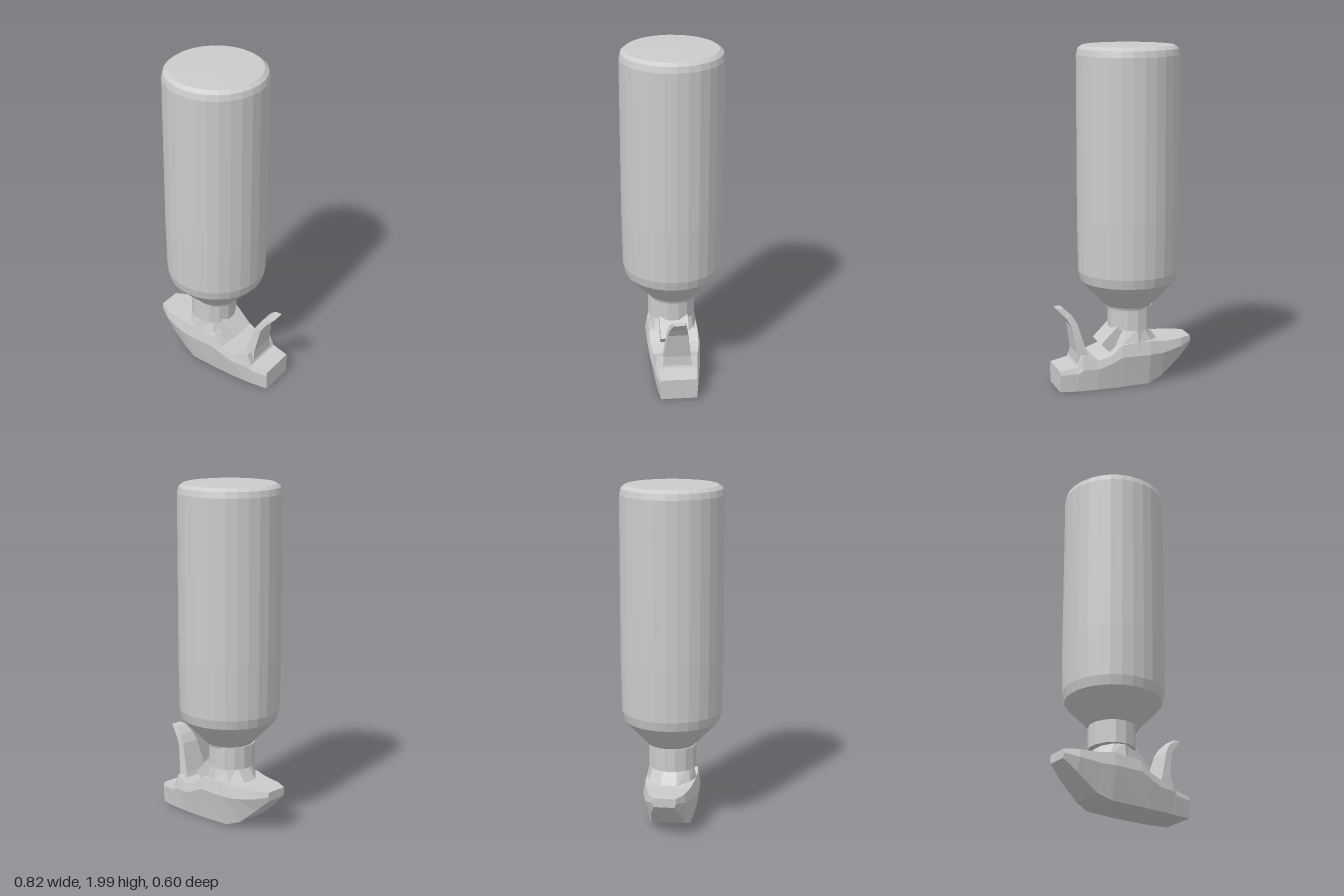
import * as THREE from 'three';

const material = new THREE.MeshStandardMaterial({ color: 0xcccccc, flatShading: true });

// Skin a list of rings (each an array of [x, y, z]) and close both ends
function loft(rings) {
  const n = rings[0].length;
  const pos = [];
  const tri = (a, b, c) => pos.push(...a, ...b, ...c);
  for (let i = 0; i < rings.length - 1; i++) {
    for (let j = 0; j < n; j++) {
      const k = (j + 1) % n;
      tri(rings[i][j], rings[i][k], rings[i + 1][k]);
      tri(rings[i][j], rings[i + 1][k], rings[i + 1][j]);
    }
  }
  const first = rings[0], last = rings[rings.length - 1];
  for (let j = 1; j < n - 1; j++) {
    tri(first[0], first[j + 1], first[j]);
    tri(last[0], last[j], last[j + 1]);
  }
  const g = new THREE.BufferGeometry();
  g.setAttribute('position', new THREE.Float32BufferAttribute(pos, 3));
  g.computeVertexNormals();
  return g;
}

export function createModel() {
  const group = new THREE.Group();
  const add = (name, geometry, x = 0, y = 0, z = 0) => {
    const mesh = new THREE.Mesh(geometry, material);
    mesh.name = name;
    mesh.position.set(x, y, z);
    group.add(mesh);
    return mesh;
  };

  // Upside-down bottle: sloping shoulder, straight wall, rounded base on top
  const bottleProfile = [
    [0, 0.47], [0.135, 0.47], [0.14, 0.485], [0.25, 0.6], [0.28, 0.635], [0.293, 0.69],
    [0.298, 1.0], [0.298, 1.945], [0.289, 1.98], [0.265, 1.998], [0, 2.0],
  ].map(([r, y]) => new THREE.Vector2(r, y));
  add('bottle', new THREE.LatheGeometry(bottleProfile, 28), -0.045);

  // Screw collar between bottle and spray head
  const collar = new THREE.CylinderGeometry(0.14, 0.14, 0.135, 14);
  collar.scale(0.95, 1, 1);
  add('collar', collar, -0.06, 0.415, 0.005);

  // Spray head: sections along x as [x, bottom, middle, top, bottom width, middle width, top width]
  const headSections = [
    [-0.415, 0.215, 0.24, 0.267, 0.06, 0.07, 0.065],
    [-0.34, 0.145, 0.22, 0.267, 0.085, 0.115, 0.105],
    [-0.22, 0.045, 0.2, 0.267, 0.10, 0.145, 0.13],
    [-0.135, 0.013, 0.2, 0.28, 0.12, 0.16, 0.145],
    [0.04, 0.01, 0.2, 0.27, 0.125, 0.16, 0.145],
    [0.10, 0.01, 0.17, 0.215, 0.125, 0.155, 0.145],
    [0.18, 0.01, 0.14, 0.19, 0.125, 0.147, 0.135],
    [0.27, 0.01, 0.14, 0.222, 0.12, 0.135, 0.12],
    [0.30, 0.01, 0.12, 0.155, 0.118, 0.13, 0.118],
    [0.405, 0.013, 0.115, 0.138, 0.105, 0.112, 0.105],
  ];
  add('sprayHead', loft(headSections.map(([x, b, m, t, wb, wm, wt]) => [
    [x, b, -wb], [x, m, -wm], [x, t, -wt], [x, t, wt], [x, m, wm], [x, b, wb],
  ])));

  // Faceted neck flaring from the collar into the head: [y, xMin, xMax, half width]
  const neckSections = [
    [0.15, -0.23, 0.12, 0.145],
    [0.265, -0.21, 0.085, 0.15],
    [0.355, -0.145, 0.03, 0.13],
  ];
  add('headNeck', loft(neckSections.map(([y, x0, x1, w]) =>
    Array.from({ length: 10 }, (_, i) => {
      const a = -(i + 0.5) / 10 * Math.PI * 2;
      return [(x0 + x1) / 2 + Math.cos(a) * (x1 - x0) / 2 / 0.95, y, Math.sin(a) * w];
    }))));

  // Slanted block under the collar that the trigger pushes against
  const pump = add('pumpBlock', new THREE.BoxGeometry(0.16, 0.1, 0.17), 0.055, 0.29);
  pump.rotation.z = -Math.PI / 4;

  // Curved, tapering trigger: [front x, front y, rear x, rear y, half width]
  const triggerSections = [
    [0.21, 0.17, 0.295, 0.17, 0.085],
    [0.235, 0.23, 0.292, 0.23, 0.08],
    [0.285, 0.4, 0.32, 0.385, 0.06],
    [0.315, 0.45, 0.35, 0.435, 0.05],
    [0.36, 0.493, 0.405, 0.495, 0.035],
  ];
  add('trigger', loft(triggerSections.map(([x0, y0, x1, y1, w]) => [
    [x0, y0, w], [x1, y1, w], [x1, y1, -w], [x0, y0, -w],
  ])));

  return group;
}
